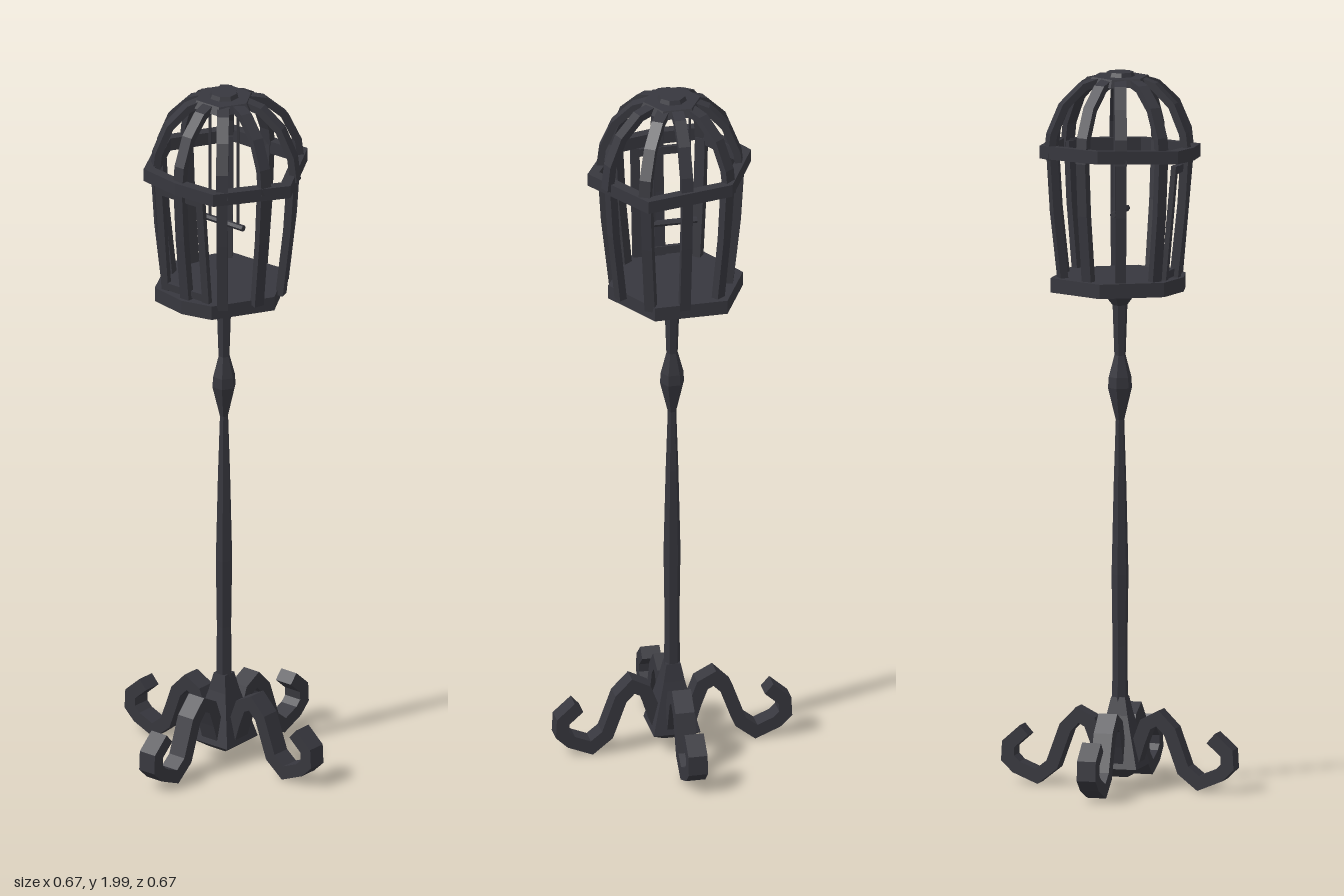
import * as THREE from 'three';

const iron = new THREE.MeshStandardMaterial({ color: 0x37373e });
iron.name = 'dark iron';

function add(parent, name, geometry) {
  const g = geometry.index ? geometry.toNonIndexed() : geometry;
  g.computeVertexNormals(); // faceted look
  const mesh = new THREE.Mesh(g, iron);
  mesh.name = name;
  parent.add(mesh);
  return mesh;
}

// Flat bar following a path in the xy plane, centred on z = 0
function ribbon(path, thickness, width) {
  const pts = path.map(([x, y]) => new THREE.Vector2(x, y));
  const left = [], right = [];
  pts.forEach((p, i) => {
    const a = pts[Math.max(i - 1, 0)], b = pts[Math.min(i + 1, pts.length - 1)];
    const d1 = (i > 0 ? p.clone().sub(a) : b.clone().sub(p)).normalize();
    const d2 = (i < pts.length - 1 ? b.clone().sub(p) : d1.clone()).normalize();
    const n = new THREE.Vector2(-d1.y - d2.y, d1.x + d2.x).normalize();
    const half = thickness / 2 / Math.max(0.5, n.dot(new THREE.Vector2(-d1.y, d1.x)));
    left.push(p.clone().addScaledVector(n, half));
    right.unshift(p.clone().addScaledVector(n, -half));
  });
  const g = new THREE.ExtrudeGeometry(new THREE.Shape([...left, ...right]), { depth: width, bevelEnabled: false });
  return g.translate(0, 0, -width / 2);
}

// Horizontal plate from [x, z] corners, with an optional scaled hole
function plate(corners, top, height, holeScale) {
  const shape = new THREE.Shape(corners.map(([x, z]) => new THREE.Vector2(x, z)));
  if (holeScale) shape.holes.push(new THREE.Path(corners.map(([x, z]) => new THREE.Vector2(x * holeScale, z * holeScale))));
  const g = new THREE.ExtrudeGeometry(shape, { depth: height, bevelEnabled: false });
  return g.rotateX(Math.PI / 2).translate(0, top, 0);
}

function lathe(profile, sides, turn) {
  const pts = profile.map(([r, y]) => new THREE.Vector2(r, y));
  return new THREE.LatheGeometry(pts, sides).rotateY(turn);
}

export function createModel() {
  const model = new THREE.Group();
  model.name = 'birdcageOnStand';

  // Stand: square foot block and slim faceted post
  const q = Math.SQRT2;
  add(model, 'footBlock', lathe([[0, 0.035], [0.03 * q, 0.04], [0.066 * q, 0.066], [0.03 * q, 0.21], [0.02 * q, 0.26], [0, 0.26]], 4, Math.PI / 4));
  add(model, 'post', lathe([
    [0, 0.2], [0.023, 0.2], [0.021, 0.4], [0.024, 0.6], [0.018, 0.85], [0.012, 1.03],
    [0.034, 1.12], [0.032, 1.15], [0.016, 1.21], [0.021, 1.35], [0.06, 1.4], [0, 1.4],
  ], 6, Math.PI / 6));

  // Four scrolled legs
  const scroll = [[0.04, 0.07], [0.06, 0.135], [0.08, 0.188], [0.115, 0.206], [0.15, 0.17], [0.188, 0.065],
    [0.232, 0.03], [0.29, 0.054], [0.315, 0.078], [0.313, 0.117], [0.268, 0.157]];
  for (let i = 0; i < 4; i++) {
    add(model, 'scrollLeg', ribbon(scroll, 0.036, 0.054)).rotation.y = i * Math.PI / 2;
  }

  // Cage floor
  add(model, 'cageFloor', plate([[0.18, 0], [0.09, 0.162], [0, 0.183], [-0.115, 0.16], [-0.2, 0],
    [-0.12, -0.165], [0.085, -0.168]], 1.435, 0.04));

  // Middle hoop, slightly crooked
  const hoop = plate([[0.238, 0], [0.123, 0.195], [0, 0.212], [-0.12, 0.202], [-0.223, 0],
    [-0.128, -0.193], [0.116, -0.221]], 1.797, 0.036, 0.86);
  const p = hoop.attributes.position;
  for (let i = 0; i < p.count; i++) p.setY(i, p.getY(i) - 0.055 * p.getX(i));
  add(model, 'middleHoop', hoop);

  // Ten bars, each given by the [x, z] where it meets the hoop
  const feet = [[0, -0.2], [0.122, -0.193], [0.206, -0.073], [0.2, 0.058], [0.132, 0.168],
    [0, 0.2], [-0.125, 0.163], [-0.19, 0.058], [-0.188, -0.058], [-0.13, -0.175]];
  const dome = [[0.06, 1.978], [0.1, 1.964], [0.152, 1.912], [0.184, 1.835], [0.192, 1.765]];
  const side = [[0.19, 1.785], [0.18, 1.62], [0.158, 1.42]];
  for (const [x, z] of feet) {
    const s = Math.hypot(x, z) / 0.2;
    const stretch = ([r, y]) => [r < 0.08 ? r : r * s, y];
    const turn = Math.atan2(-z, x);
    add(model, 'domeBar', ribbon(dome.map(stretch), 0.02, 0.033)).rotation.y = turn;
    add(model, 'sideBar', ribbon(side.map(([r, y]) => [r * (0.4 + 0.6 * s), y]), 0.022, 0.03)).rotation.y = turn;
  }

  // Crown
  add(model, 'crownPlate', new THREE.CylinderGeometry(0.08, 0.092, 0.022, 6).rotateY(Math.PI / 6).translate(0, 1.977, 0));
  add(model, 'crownKnob', new THREE.CylinderGeometry(0.037, 0.043, 0.016, 8).rotateY(Math.PI / 8).translate(0, 1.992, 0));

  // Door frame leaning with the front bars
  const door = new THREE.Group();
  door.name = 'door';
  for (const x of [-0.08, 0.065]) add(door, 'doorUpright', new THREE.BoxGeometry(0.024, 0.32, 0.014).translate(x, 0, 0));
  for (const y of [-0.147, 0.147]) add(door, 'doorRail', new THREE.BoxGeometry(0.15, 0.022, 0.014).translate(-0.008, y, 0));
  door.position.set(0, 1.597, 0.166);
  door.rotation.x = 0.09;
  model.add(door);

  // Swing hanging from the crown
  add(model, 'perch', new THREE.CylinderGeometry(0.009, 0.009, 0.14, 6).rotateZ(Math.PI / 2).translate(0, 1.61, 0));
  for (const x of [-0.05, 0.05]) {
    add(model, 'swingWire', new THREE.CylinderGeometry(0.004, 0.004, 0.36, 5).translate(x, 1.79, 0));
  }
  return model;
}
